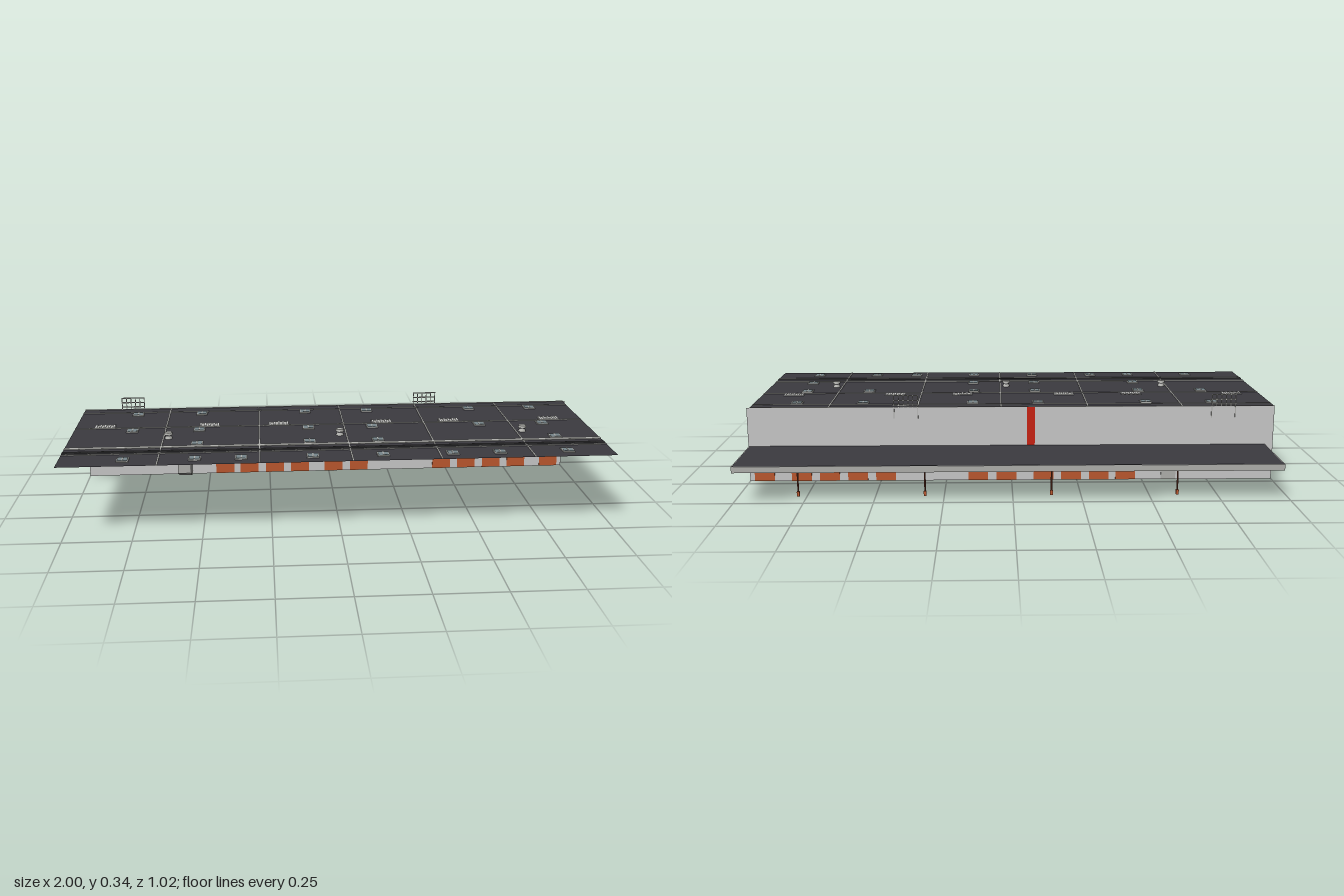
import * as THREE from 'three';

const mat = (name, color, side = THREE.FrontSide) => {
  const m = new THREE.MeshStandardMaterial({ color, side });
  m.name = name;
  return m;
};

export function createModel() {
  const M = {
    roof: mat('roof felt', 0x3b3a40, THREE.DoubleSide),
    wall: mat('wall grey', 0xc9c9c9, THREE.DoubleSide),
    trim: mat('trim grey', 0xb0b0ac),
    soffit: mat('soffit grey', 0x9a9a9a),
    door: mat('door orange', 0xbc582e),
    red: mat('stripe red', 0xc9200f),
    post: mat('post brown', 0x6a3524),
    glass: mat('skylight glass', 0x76858a),
    dark: mat('dark metal', 0x4a4a4c),
  };
  const model = new THREE.Group();
  const ROOF = 0.286, WALL = -0.215;

  // Axis-aligned box given by its limits
  const box = (name, m, x0, x1, y0, y1, z0, z1, parent = model) => {
    const b = new THREE.Mesh(new THREE.BoxGeometry(x1 - x0, y1 - y0, z1 - z0), m);
    b.position.set((x0 + x1) / 2, (y0 + y1) / 2, (z0 + z1) / 2);
    b.name = name;
    parent.add(b);
    return b;
  };
  const cyl = (name, m, rTop, rBottom, x, y0, y1, z, sides = 12) => {
    const c = new THREE.Mesh(new THREE.CylinderGeometry(rTop, rBottom, y1 - y0, sides), m);
    c.position.set(x, (y0 + y1) / 2, z);
    c.name = name;
    model.add(c);
  };

  // Main roof and rear wall are thin sheets
  const roof = new THREE.Mesh(new THREE.PlaneGeometry(1.99, 0.725).rotateX(-Math.PI / 2), M.roof);
  roof.position.set(-0.005, ROOF, 0.1475);
  roof.name = 'mainRoof';
  model.add(roof);
  const wall = new THREE.Mesh(new THREE.PlaneGeometry(2, ROOF), M.wall);
  wall.position.set(0, ROOF / 2, WALL);
  wall.name = 'rearWall';
  model.add(wall);

  // Roof seams
  for (const x of [-0.65, -0.29, 0.04, 0.357, 0.693])
    box('crossSeam', M.trim, x - 0.003, x + 0.003, ROOF, ROOF + 0.002, -0.215, 0.51);
  for (const [z, w] of [[-0.213, 0.004], [-0.16, 0.006], [0.055, 0.007], [0.304, 0.02], [0.378, 0.006]])
    box('longSeam', M.trim, -1, 0.99, ROOF, ROOF + 0.0025, z - w / 2, z + w / 2);
  for (const z of [0.348, 0.362])
    box('gutter', M.dark, -1, 0.99, ROOF, ROOF + 0.003, z - 0.003, z + 0.003);

  // Skylights: frame, pane and glazing bar
  const skylightRows = [
    [-0.13, [-0.775, -0.52, -0.103, 0.148, 0.57, 0.823]],
    [0.095, [-0.775, -0.52, -0.1, 0.148, 0.57, 0.82]],
    [0.27, [-0.52, -0.103, 0.152, 0.825]],
    [0.445, [-0.773, -0.52, -0.355, -0.1, 0.152, 0.403, 0.575, 0.825]],
  ];
  for (const [z, xs] of skylightRows) for (const x of xs) {
    const g = new THREE.Group();
    g.name = 'skylight';
    model.add(g);
    box('skylightFrame', M.trim, x - 0.022, x + 0.022, ROOF, ROOF + 0.004, z - 0.023, z + 0.023, g);
    box('skylightPane', M.glass, x - 0.018, x + 0.018, ROOF + 0.003, ROOF + 0.0055, z - 0.019, z + 0.019, g);
    box('skylightBar', M.trim, x - 0.002, x + 0.002, ROOF + 0.003, ROOF + 0.0065, z - 0.019, z + 0.019, g);
  }

  // Ribbed roof panels
  for (const x of [-0.887, -0.483, -0.213, 0.192, 0.46, 0.863]) {
    box('ribbedPanel', M.trim, x - 0.04, x + 0.04, ROOF, ROOF + 0.002, 0.012, 0.052);
    for (let i = 0; i < 5; i++) {
      const rx = x - 0.034 + i * 0.017;
      box('panelRib', M.wall, rx - 0.004, rx + 0.004, ROOF, ROOF + 0.004, 0.012, 0.052);
    }
  }

  // Roof vents with a waisted cowl
  for (const x of [-0.63, 0.015, 0.717]) {
    cyl('ventBase', M.trim, 0.011, 0.015, x, ROOF, 0.296, 0.195);
    cyl('ventNeck', M.dark, 0.011, 0.011, x, 0.296, 0.301, 0.195);
    cyl('ventCap', M.trim, 0.014, 0.016, x, 0.301, 0.31, 0.195);
  }

  // Open frames standing above the wall top
  for (const x of [-0.805, 0.4]) {
    const g = new THREE.Group();
    g.name = 'roofFrame';
    model.add(g);
    for (const y of [0.296, 0.314, 0.333])
      box('frameRail', M.trim, x - 0.047, x + 0.047, y - 0.002, y + 0.002, WALL - 0.004, WALL - 0.001, g);
    for (let i = 0; i < 6; i++) {
      const px = x - 0.045 + i * 0.018;
      box('framePost', M.trim, px - 0.0015, px + 0.0015, i % 5 ? 0.29 : 0.244, 0.334, WALL - 0.004, WALL - 0.001, g);
    }
  }

  // Loading doors, seen on both faces of the wall
  for (const x of [-0.437, -0.335, -0.228, -0.122, 0.02, 0.128, 0.481, 0.588, 0.696, 0.803, 0.944]) {
    box('loadingDoor', M.door, x - 0.038, x + 0.038, 0.001, 0.079, WALL - 0.002, WALL + 0.002);
    for (const s of [-1, 1])
      box('doorWindow', M.dark, x + s * 0.015 - 0.008, x + s * 0.015 + 0.008, 0.044, 0.049, WALL - 0.003, WALL - 0.001);
  }

  // Red stripe on the wall
  box('redStripe', M.red, -0.088, -0.058, 0.117, 0.287, WALL - 0.003, WALL + 0.002);

  // Sloping chute on the inner side of the wall
  const profile = new THREE.Shape([
    [-0.215, 0], [-0.2, 0], [-0.135, 0.03], [-0.135, 0.08], [-0.2, 0.056], [-0.215, 0.056],
  ].map(([z, y]) => new THREE.Vector2(-z, y)));
  const chute = new THREE.Mesh(
    new THREE.ExtrudeGeometry(profile, { depth: 0.054, bevelEnabled: false }).rotateY(Math.PI / 2), M.trim);
  chute.position.x = -0.629;
  chute.name = 'chute';
  model.add(chute);
  box('chuteDoor', M.trim, -0.63, -0.574, 0.001, 0.084, WALL - 0.002, WALL + 0.002);

  // Canopy: deck, fascia and underside beams
  const cx0 = -0.97, cx1 = 0.998, cz0 = -0.508;
  box('canopyDeck', M.soffit, cx0 + 0.006, cx1 - 0.006, 0.127, 0.134, cz0 + 0.006, WALL - 0.003);
  box('canopyRoof', M.roof, cx0 + 0.003, cx1 - 0.003, 0.134, 0.1385, cz0 + 0.003, WALL - 0.003);
  box('canopyFascia', M.trim, cx0, cx1, 0.115, 0.138, cz0, cz0 + 0.006);
  box('canopyEnd', M.trim, cx0, cx0 + 0.006, 0.115, 0.138, cz0, WALL - 0.003);
  box('canopyEnd', M.trim, cx1 - 0.006, cx1, 0.115, 0.138, cz0, WALL - 0.003);
  box('canopyWallBeam', M.trim, cx0, cx1, 0.115, 0.128, WALL - 0.012, WALL - 0.004);
  for (let i = 1; i < 7; i++) {
    const x = cx0 + (cx1 - cx0) * i / 7;
    box('canopyBeam', M.trim, x - 0.005, x + 0.005, 0.116, 0.128, cz0 + 0.004, WALL - 0.004);
  }

  // Canopy posts on orange feet
  for (const x of [0.782, 0.32, -0.142, -0.604]) {
    cyl('canopyPost', M.post, 0.003, 0.003, x, 0.01, 0.13, -0.412, 8);
    box('postFoot', M.door, x - 0.005, x + 0.005, 0, 0.017, -0.417, -0.407);
  }
  return model;
}
